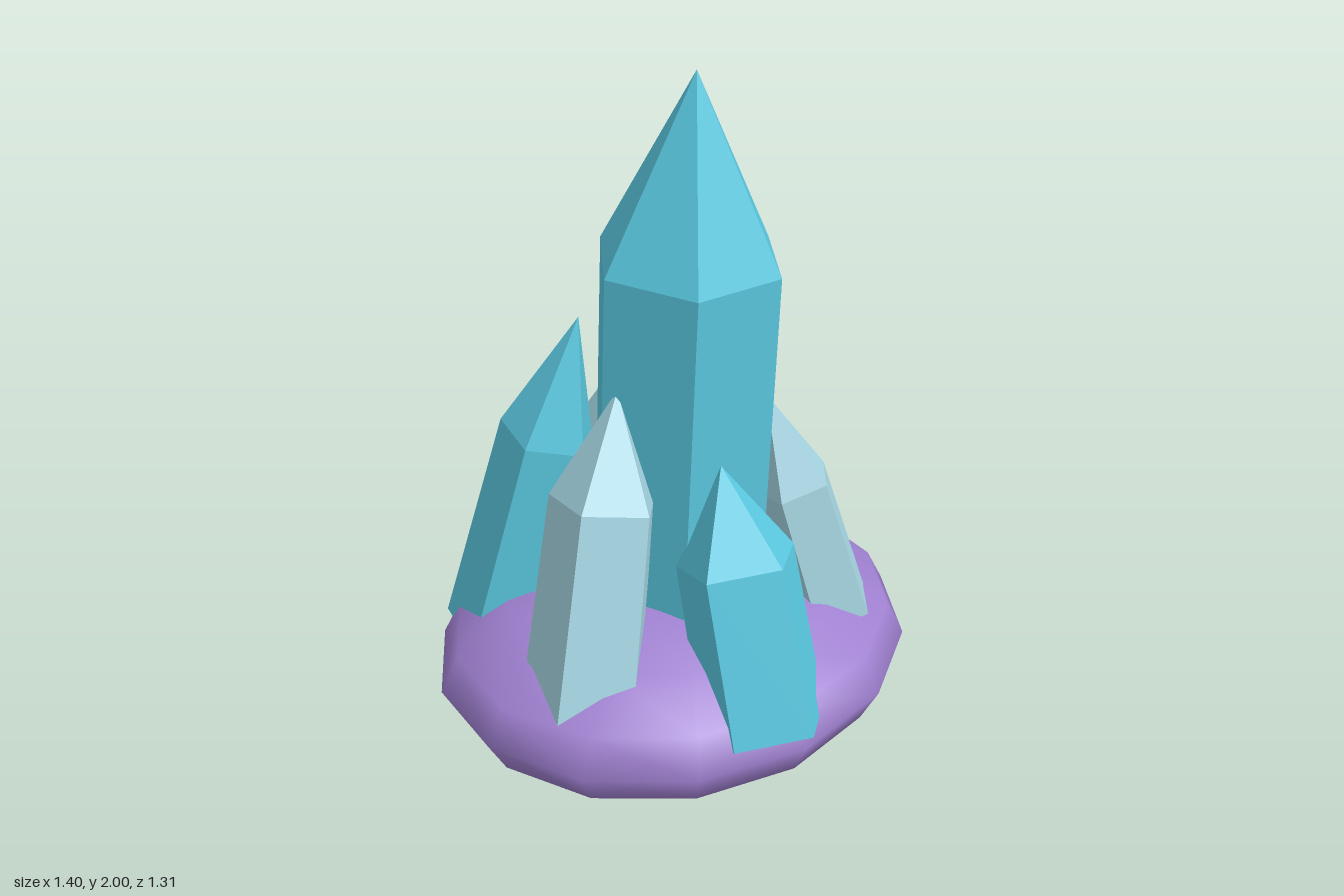
import * as THREE from 'three';

// Faceted crystal: tapered prism with a pointed tip, leaning from base to apex.
// shoulder = share of the length where the tip begins; twist in degrees from +z towards +x.
function crystal(name, material, { base, apex, shoulder, rBase, rTop, sides = 5, twist }) {
  const from = new THREE.Vector3(...base);
  const axis = new THREE.Vector3(...apex).sub(from);
  const length = axis.length();
  const profile = [[0, 0], [rBase, 0], [rTop, length * shoulder], [0, length]]
    .map(([x, y]) => new THREE.Vector2(x, y));
  const geometry = new THREE.LatheGeometry(profile, sides, THREE.MathUtils.degToRad(twist));
  const mesh = new THREE.Mesh(geometry, material);
  mesh.name = name;
  mesh.position.copy(from);
  mesh.quaternion.setFromUnitVectors(new THREE.Vector3(0, 1, 0), axis.normalize());
  return mesh;
}

export function createModel() {
  const model = new THREE.Group();
  model.name = 'crystalCluster';

  const teal = new THREE.MeshStandardMaterial({ color: 0x5ac8e0, flatShading: true });
  teal.name = 'teal crystal';
  const pale = new THREE.MeshStandardMaterial({ color: 0xa5d5e2, flatShading: true });
  pale.name = 'pale crystal';
  const purple = new THREE.MeshStandardMaterial({ color: 0x9f80d0 });
  purple.name = 'purple rock';

  // Squashed smooth rock
  const rockGeometry = new THREE.SphereGeometry(1, 14, 8, Math.PI / 2);
  rockGeometry.scale(0.718, 0.275, 0.63);
  const rock = new THREE.Mesh(rockGeometry, purple);
  rock.name = 'rockBase';
  rock.position.y = 0.28;
  model.add(rock);

  // Tall centre crystal
  model.add(crystal('mainCrystal', teal, {
    base: [0, 0.3, 0], apex: [0, 2, 0.1], shoulder: 0.712,
    rBase: 0.268, rTop: 0.256, sides: 6, twist: 90,
  }));

  // Ring of smaller crystals leaning inwards
  model.add(
    crystal('frontCrystal', teal, {
      base: [-0.04, 0.3, 0.5], apex: [-0.035, 1.0, 0.27], shoulder: 0.64,
      rBase: 0.182, rTop: 0.17, twist: 8,
    }),
    crystal('frontLeftCrystal', pale, {
      base: [0.365, 0.39, 0.285], apex: [0.2, 1.09, 0.155], shoulder: 0.61,
      rBase: 0.13, rTop: 0.115, twist: 18,
    }),
    crystal('backLeftCrystal', teal, {
      base: [0.44, 0.33, -0.175], apex: [0.22, 1.02, -0.1], shoulder: 0.63,
      rBase: 0.198, rTop: 0.175, twist: 19,
    }),
    crystal('backCrystal', pale, {
      base: [0.07, 0.32, -0.51], apex: [0.04, 1.09, -0.29], shoulder: 0.65,
      rBase: 0.143, rTop: 0.125, twist: 21,
    }),
    crystal('backRightCrystal', teal, {
      base: [-0.42, 0.3, -0.31], apex: [-0.2, 1.31, -0.155], shoulder: 0.65,
      rBase: 0.16, rTop: 0.138, twist: 14,
    }),
    crystal('frontRightCrystal', pale, {
      base: [-0.43, 0.31, 0.19], apex: [-0.23, 1.2, 0.08], shoulder: 0.67,
      rBase: 0.175, rTop: 0.152, twist: 15,
    }),
  );

  return model;
}
